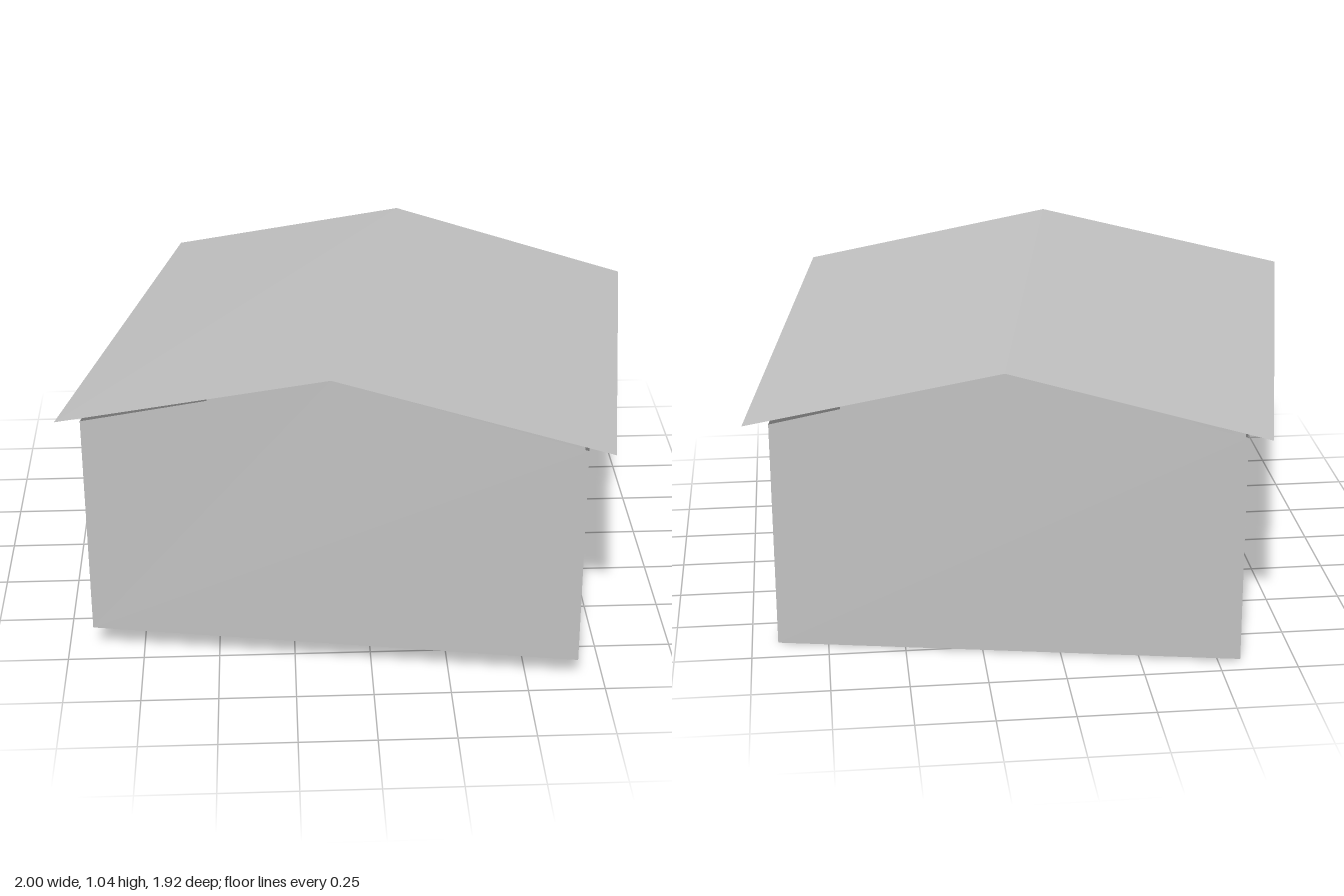
import * as THREE from 'three';

const siding = new THREE.MeshStandardMaterial({ color: 0xc2c2c2, side: THREE.DoubleSide });
siding.name = 'light grey';

// Flat panel from its corners, counter-clockwise seen from outside
function panel(name, corners) {
  const pos = [];
  for (let i = 1; i < corners.length - 1; i++) {
    pos.push(...corners[0], ...corners[i], ...corners[i + 1]);
  }
  const geometry = new THREE.BufferGeometry();
  geometry.setAttribute('position', new THREE.Float32BufferAttribute(pos, 3));
  geometry.computeVertexNormals();
  const mesh = new THREE.Mesh(geometry, siding);
  mesh.name = name;
  return mesh;
}

export function createModel() {
  const model = new THREE.Group();
  model.name = 'shed';

  // Ridge ends and eave corners of the slightly tilted, turned roof
  const ridgeFront = [-0.127, 1.045, 0.818], ridgeBack = [0.175, 0.97, -0.797];
  const eave = {
    frontLow: [-1, 0.85, 0.679], backLow: [-0.647, 0.776, -0.962],
    frontHigh: [0.748, 0.84, 0.961], backHigh: [1, 0.765, -0.631],
  };

  // Wall corners: x, z, foot height, top height, in order around the shed
  const posts = [
    [-0.917, 0.693, 0.09, 0.859],
    [0.665, 0.949, 0.083, 0.85],
    [0.915, -0.647, 0.004, 0.774],
    [-0.57, -0.947, 0.015, 0.783],
  ];
  const foot = posts.map(([x, z, y]) => [x, y, z]);
  const top = posts.map(([x, z, , y]) => [x, y, z]);

  // Four walls, two of them rising to a gable; the underside stays open
  const names = ['frontWall', 'leftWall', 'backWall', 'rightWall'];
  const peaks = [[ridgeFront], [], [ridgeBack], []];
  names.forEach((name, i) => {
    const j = (i + 1) % 4;
    model.add(panel(name, [foot[i], foot[j], top[j], ...peaks[i], top[i]]));
  });

  // Roof slopes
  model.add(panel('leftRoof', [ridgeFront, eave.frontHigh, eave.backHigh, ridgeBack]));
  model.add(panel('rightRoof', [eave.frontLow, ridgeFront, ridgeBack, eave.backLow]));
  return model;
}
